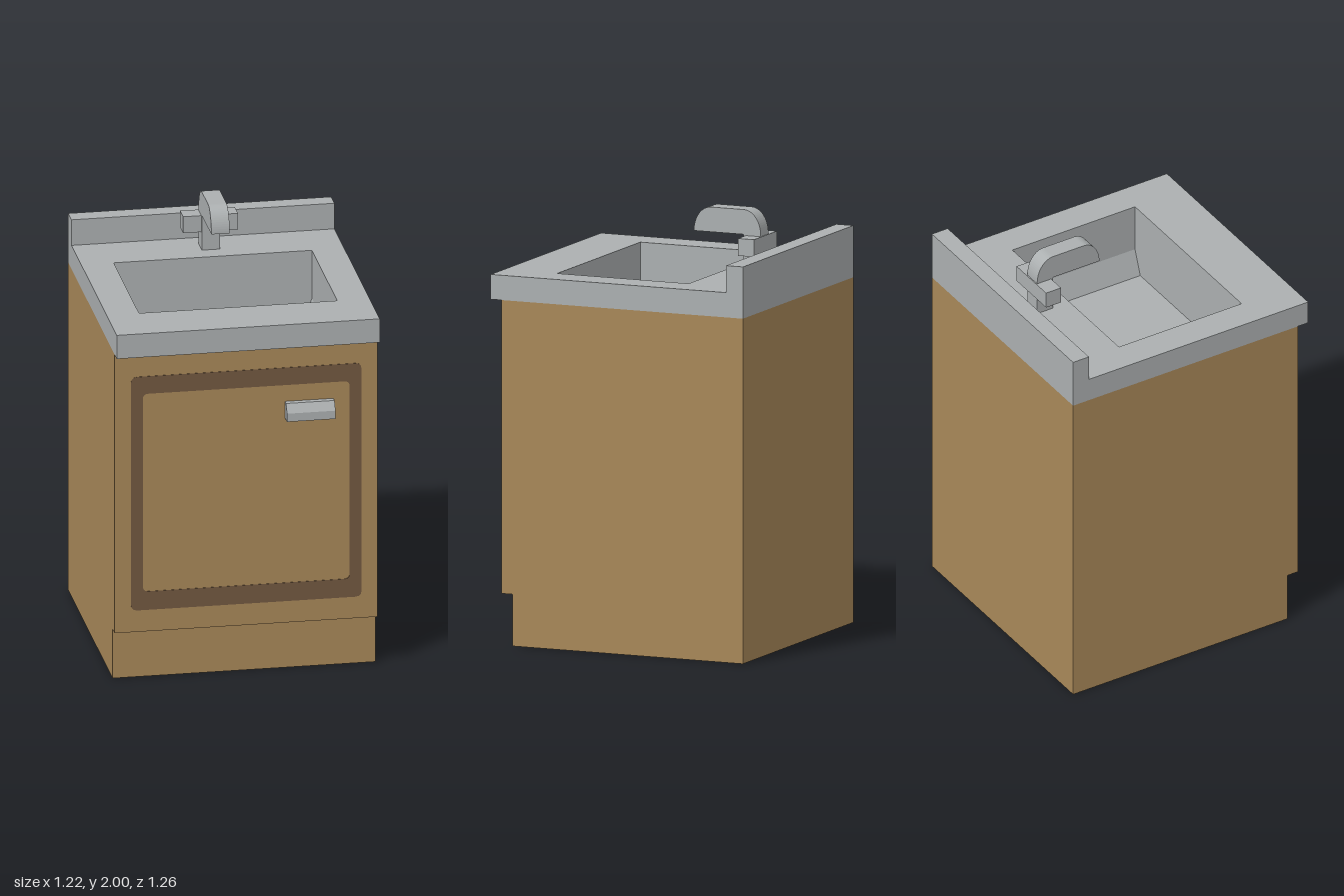
import * as THREE from 'three';

const wood = new THREE.MeshStandardMaterial({ name: 'wood', color: 0xa88859 });
const darkWood = new THREE.MeshStandardMaterial({ name: 'dark wood', color: 0x725840 });
const metal = new THREE.MeshStandardMaterial({ name: 'metal', color: 0xacb0b1 });

const W = 1.22;
const polygon = (pts) => new THREE.Shape(pts.map(([a, b]) => new THREE.Vector2(a, b)));
const extrude = (shape, depth, curveSegments = 8) =>
  new THREE.ExtrudeGeometry(shape, { depth, bevelEnabled: false, curveSegments });

// Extrudes a (z, y) side profile across x, from x0 to x1
function sideExtrude(shape, x0, x1) {
  return extrude(shape, x1 - x0).rotateY(-Math.PI / 2).translate(x1, 0, 0);
}

// Drops the faces lying in the plane y = top, leaving the solid open
function openTop(geometry, top) {
  const g = geometry.index ? geometry.toNonIndexed() : geometry;
  const p = g.attributes.position;
  const kept = [];
  for (let i = 0; i < p.count; i += 3) {
    if ([0, 1, 2].every((k) => Math.abs(p.getY(i + k) - top) < 1e-4)) continue;
    for (let k = 0; k < 3; k++) kept.push(p.getX(i + k), p.getY(i + k), p.getZ(i + k));
  }
  const out = new THREE.BufferGeometry();
  out.setAttribute('position', new THREE.Float32BufferAttribute(kept, 3));
  out.computeVertexNormals();
  return out;
}

// Rectangle with small rounded corners
function roundedRect(path, x, y0, y1, r) {
  path.moveTo(-x + r, y0);
  path.lineTo(x - r, y0);
  path.quadraticCurveTo(x, y0, x, y0 + r);
  path.lineTo(x, y1 - r);
  path.quadraticCurveTo(x, y1, x - r, y1);
  path.lineTo(-x + r, y1);
  path.quadraticCurveTo(-x, y1, -x, y1 - r);
  path.lineTo(-x, y0 + r);
  path.quadraticCurveTo(-x, y0, -x + r, y0);
  return path;
}

export function createModel() {
  const model = new THREE.Group();
  model.name = 'sinkCabinet';
  const add = (name, geometry, material) => {
    const mesh = new THREE.Mesh(geometry, material);
    mesh.name = name;
    model.add(mesh);
  };
  const addBox = (name, material, [x0, x1], [y0, y1], [z0, z1]) =>
    add(name, new THREE.BoxGeometry(x1 - x0, y1 - y0, z1 - z0)
      .translate((x0 + x1) / 2, (y0 + y1) / 2, (z0 + z1) / 2), material);

  // Cabinet with a set-back toe kick, open under the counter
  const body = polygon([[-0.63, 0], [0.525, 0], [0.525, 0.24], [0.58, 0.24], [0.58, 1.6], [-0.63, 1.6]]);
  add('cabinet', openTop(sideExtrude(body, -W / 2, W / 2), 1.6), wood);

  // Dark frame painted on the door
  const frame = roundedRect(new THREE.Shape(), 0.535, 0.345, 1.485, 0.03);
  frame.holes.push(roundedRect(new THREE.Path(), 0.48, 0.435, 1.4, 0.025));
  add('doorFrame', extrude(frame, 0.003, 3).translate(0, 0, 0.579), darkWood);

  // Door handle with a sloped upper edge
  const grip = polygon([[0.58, 1.24], [0.635, 1.24], [0.635, 1.28], [0.608, 1.32], [0.58, 1.32]]);
  add('handle', sideExtrude(grip, 0.18, 0.405), metal);

  // Counter with the basin opening (shape y is -z)
  const slab = polygon([[-W / 2, -0.635], [W / 2, -0.635], [W / 2, 0.63], [-W / 2, 0.63]]);
  slab.holes.push(polygon([[-0.46, -0.37], [-0.46, 0.29], [0.46, 0.29], [0.46, -0.37]]));
  add('counter', extrude(slab, 0.115).rotateX(-Math.PI / 2).translate(0, 1.6, 0), metal);
  addBox('backsplash', metal, [-W / 2, W / 2], [1.715, 1.84], [-0.63, -0.545]);

  // Basin: open solid mirrored in x so that its faces point inward
  const bowl = polygon([[-0.46, 1.6], [-0.46, 1.48], [-0.415, 1.36], [0.415, 1.36], [0.46, 1.48], [0.46, 1.6]]);
  const basin = openTop(extrude(bowl, 0.66).translate(0, 0, -0.29), 1.6).scale(-1, 1, 1);
  basin.computeVertexNormals();
  add('basin', basin, metal);

  // Faucet: post, cross bar and rounded spout
  addBox('faucetPost', metal, [-0.035, 0.05], [1.715, 1.885], [-0.465, -0.38]);
  addBox('faucetCrossBar', metal, [-0.12, 0.135], [1.8, 1.88], [-0.47, -0.39]);
  const spout = new THREE.Shape();
  spout.moveTo(-0.465, 1.885);
  spout.lineTo(-0.13, 1.885);
  spout.absellipse(-0.215, 1.885, 0.085, 0.115, 0, Math.PI / 2, false, 0);
  spout.absellipse(-0.38, 1.885, 0.085, 0.115, Math.PI / 2, Math.PI, false, 0);
  add('faucetSpout', sideExtrude(spout, -0.035, 0.05), metal);

  return model;
}
